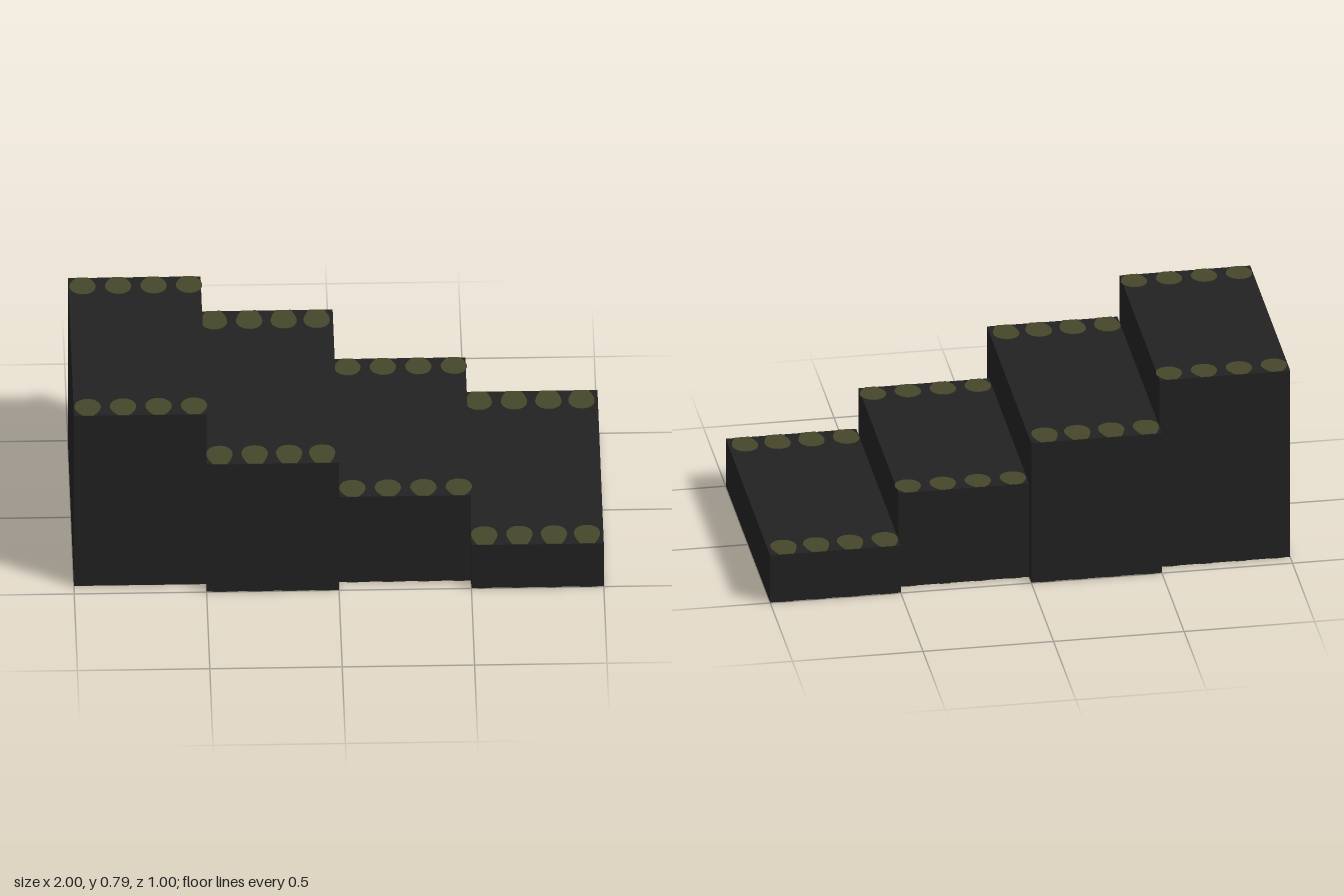
import * as THREE from 'three';

const SKIN = 0.002; // thickness of the painted spots

// Rounded teardrop: narrow end on the step edge (y = 0), round end inward (y = length)
function spotGeometry(length, edgeHalf) {
  const w = 0.05, wide = length - 0.055;
  const s = new THREE.Shape();
  s.moveTo(-edgeHalf, 0);
  s.lineTo(edgeHalf, 0);
  s.quadraticCurveTo(w - 0.005, wide * 0.45, w, wide);
  s.bezierCurveTo(w, length - 0.02, 0.028, length, 0, length);
  s.bezierCurveTo(-0.028, length, -w, length - 0.02, -w, wide);
  s.quadraticCurveTo(-w + 0.005, wide * 0.45, -edgeHalf, 0);
  const g = new THREE.ExtrudeGeometry(s, { depth: SKIN, bevelEnabled: false, curveSegments: 6 });
  return g.rotateX(-Math.PI / 2); // lies flat, round end towards -z
}

export function createModel() {
  const model = new THREE.Group();
  model.name = 'staircase';

  const stone = new THREE.MeshStandardMaterial({ color: 0x222222 });
  stone.name = 'charcoal';
  const moss = new THREE.MeshStandardMaterial({ color: 0x45472b });
  moss.name = 'olive';

  const narrow = { depth: 0.9, spots: [0.053, 0.187, 0.321, 0.455], geo: spotGeometry(0.108, 0.02) };
  const wide = { depth: 1.0, spots: [0.05, 0.183, 0.313, 0.438], geo: spotGeometry(0.12, 0.027) };
  const heights = [0.79, 0.592, 0.398, 0.202];

  heights.forEach((height, i) => {
    const { depth, spots, geo } = i % 2 ? wide : narrow;
    const left = -1 + i * 0.5;
    const step = new THREE.Group();
    step.name = `step${i + 1}`;

    // Solid block, leaving room for the spots above and below
    const blockHeight = height - 2 * SKIN;
    const block = new THREE.Mesh(new THREE.BoxGeometry(0.5, blockHeight, depth), stone);
    block.name = 'block';
    block.position.set(left + 0.25, height / 2, 0);
    step.add(block);

    // Rows of spots along the front and back edges, on top and underneath
    for (const x of spots) {
      for (const side of [1, -1]) {
        for (const y of [height - SKIN, 0]) {
          const spot = new THREE.Mesh(geo, moss);
          spot.name = y > 0 ? 'topSpot' : 'bottomSpot';
          spot.position.set(left + x, y, side * depth / 2);
          if (side < 0) spot.rotation.y = Math.PI;
          step.add(spot);
        }
      }
    }
    model.add(step);
  });

  return model;
}
